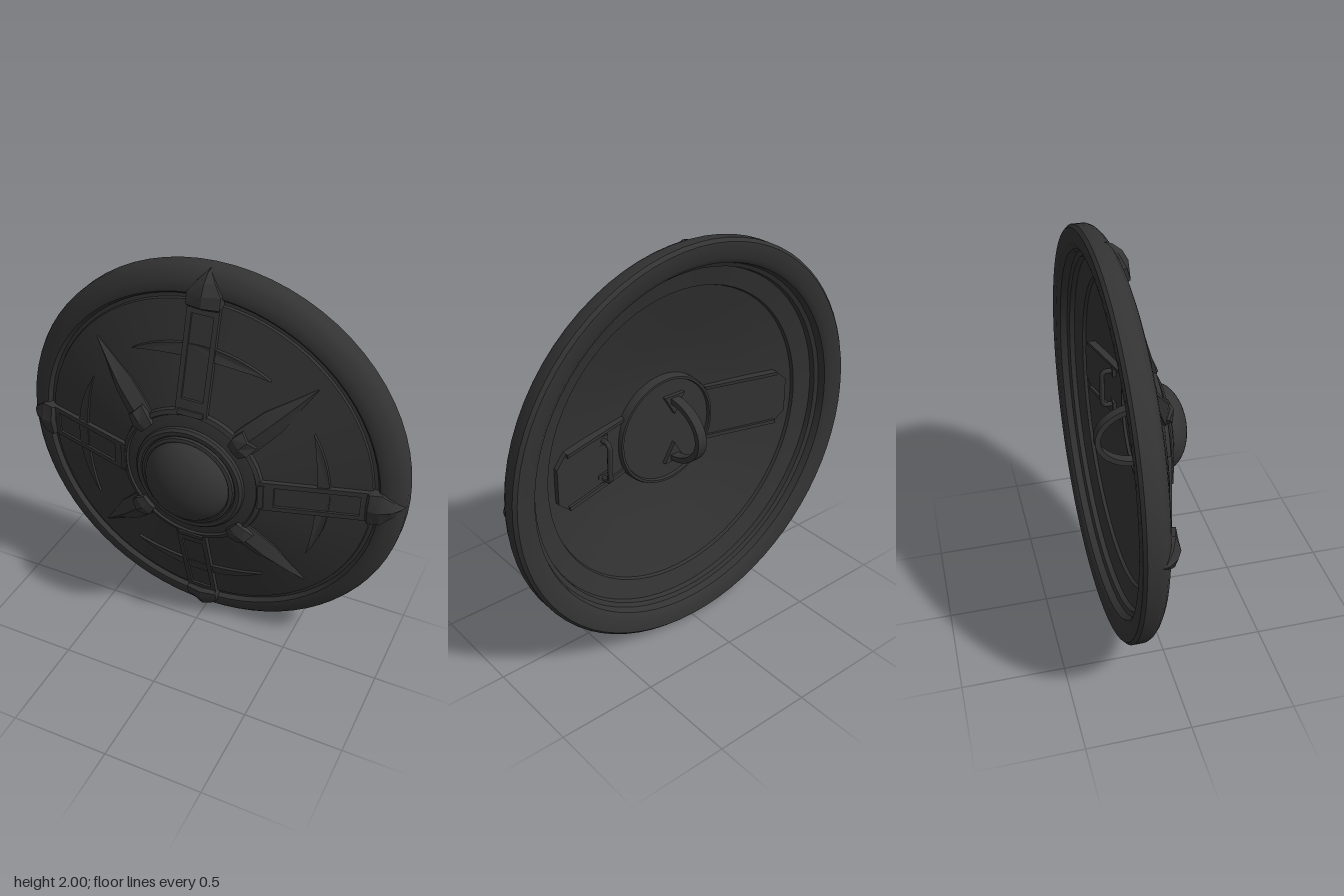
import * as THREE from 'three';
import { toCreasedNormals } from 'three/addons/utils/BufferGeometryUtils.js';

const material = new THREE.MeshStandardMaterial({ color: 0x333333 });

// Height of the conical front face at distance r from the centre
const coneZ = (r) => 0.045 - (r - 0.36) * 0.29;

function addMesh(parent, name, geometry, crease = 0.5) {
  const mesh = new THREE.Mesh(toCreasedNormals(geometry, crease), material);
  mesh.name = name;
  parent.add(mesh);
  return mesh;
}

// Profile of [radius, z] pairs turned about the z axis
function turned(profile, segments = 72) {
  const points = profile.map(([r, z]) => new THREE.Vector2(r, z));
  return new THREE.LatheGeometry(points, segments).rotateX(Math.PI / 2);
}

// Extrude an outline between two heights measured from the cone
function draped(shape, low, high) {
  const g = new THREE.ExtrudeGeometry(shape, { depth: high - low, bevelEnabled: false });
  const p = g.attributes.position;
  for (let i = 0; i < p.count; i++) {
    p.setZ(i, p.getZ(i) + low + coneZ(Math.hypot(p.getX(i), p.getY(i))));
  }
  g.computeVertexNormals();
  return g;
}

const outline = (pts) => new THREE.Shape(pts.map(([x, y]) => new THREE.Vector2(x, y)));
const rect = (w, y0, y1) => outline([[-w, y0], [w, y0], [w, y1], [-w, y1]]);

// Ridged loft along y; each section is [y, halfWidth, edgeZ, ridgeZ, bottomZ]
function ridged(sections) {
  const rings = sections.map(([y, w, edge, ridge, bottom]) => [
    [-w, y, bottom], [-w, y, edge], [0, y, ridge], [w, y, edge], [w, y, bottom],
  ]);
  const n = 5, index = [];
  for (let i = 0; i < rings.length - 1; i++) {
    for (let j = 0; j < n; j++) {
      const a = i * n + j, b = i * n + (j + 1) % n;
      index.push(a, b, b + n, a, b + n, a + n);
    }
  }
  const last = (rings.length - 1) * n;
  for (let k = 1; k < n - 1; k++) {
    index.push(0, k + 1, k, last, last + k, last + k + 1);
  }
  const g = new THREE.BufferGeometry();
  g.setAttribute('position', new THREE.Float32BufferAttribute(rings.flat(2), 3));
  g.setIndex(index);
  g.computeVertexNormals();
  return g;
}

// Moon-shaped outline centred on the +y axis
function crescentShape() {
  const pts = [], n = 16, spread = 0.55;
  const at = (r, a) => [r * Math.sin(a), r * Math.cos(a)];
  for (let i = 0; i <= n; i++) pts.push(at(0.668, spread * (1 - 2 * i / n)));
  for (let i = 1; i < n; i++) {
    const t = 2 * i / n - 1;
    pts.push(at(0.668 - 0.06 * (1 - t * t), spread * t));
  }
  return outline(pts);
}

function createArm() {
  const arm = new THREE.Group();
  // Framed bar with a recessed panel
  const frame = rect(0.08, 0.35, 0.86);
  frame.holes.push(rect(0.055, 0.42, 0.805));
  addMesh(arm, 'barFrame', draped(frame, -0.012, 0.024));
  addMesh(arm, 'barPanel', draped(rect(0.06, 0.41, 0.81), -0.012, 0.012));
  addMesh(arm, 'barFoot', draped(rect(0.065, 0.35, 0.375), 0, 0.032));
  // Pointed cap that hooks over the rim
  addMesh(arm, 'rimCap', ridged([
    [0.83, 0.074, -0.07, -0.06, -0.13],
    [0.845, 0.083, -0.055, -0.04, -0.13],
    [0.9, 0.083, -0.07, -0.045, -0.15],
    [0.95, 0.045, -0.095, -0.072, -0.17],
    [0.985, 0.012, -0.13, -0.115, -0.19],
    [0.996, 0.002, -0.15, -0.14, -0.19],
  ]), 0.3);
  addMesh(arm, 'crescent', draped(crescentShape(), -0.01, 0.016));
  return arm;
}

function createSpike() {
  const spike = new THREE.Group();
  addMesh(spike, 'blade', ridged([
    [0.35, 0.062, 0.055, 0.085, 0.02],
    [0.4, 0.066, 0.042, 0.075, 0.01],
    [0.54, 0.06, 0.0, 0.038, -0.03],
    [0.68, 0.026, -0.045, -0.02, -0.07],
    [0.79, 0.002, -0.076, -0.072, -0.1],
  ]), 0.2);
  addMesh(spike, 'bladeSocket', ridged([
    [0.315, 0.04, 0.085, 0.092, 0.03],
    [0.36, 0.054, 0.085, 0.1, 0.02],
    [0.415, 0.05, 0.06, 0.088, 0.01],
  ]), 0.2);
  return spike;
}

function createGrip() {
  const back = new THREE.Group();
  // Strap plates with raised rails on both sides of the round grip plate
  for (const side of [0, Math.PI]) {
    const half = new THREE.Group();
    half.name = side ? 'rightStrap' : 'leftStrap';
    const plate = outline([[0.2, -0.145], [0.64, -0.145], [0.7, -0.09],
      [0.7, 0.09], [0.64, 0.145], [0.2, 0.145]]);
    addMesh(half, 'strapPlate', draped(plate, -0.055, -0.025));
    for (const s of [-1, 1]) {
      const y = s * 0.137;
      const rail = outline([[0.25, y - 0.009], [0.64, y - 0.009], [0.64, y + 0.009], [0.25, y + 0.009]]);
      addMesh(half, 'strapRail', draped(rail, -0.07, -0.05));
    }
    half.rotation.z = side;
    back.add(half);
  }
  addMesh(back, 'gripPlate', turned([[0, -0.005], [0.262, -0.005], [0.266, -0.02],
    [0.278, -0.02], [0.284, -0.005], [0.284, 0.05]], 48));

  // Curved hand grip: a C-shaped band, drawn in z and y, as wide as a hand strap
  const band = new THREE.Shape();
  band.absellipse(0, 0, 0.225, 0.17, Math.PI / 2, -Math.PI / 2, true);
  band.absellipse(0, 0, 0.198, 0.142, -Math.PI / 2, Math.PI / 2, false);
  const grip = new THREE.ExtrudeGeometry(band, { depth: 0.05, bevelEnabled: false, curveSegments: 20 });
  addMesh(back, 'handGrip', grip.rotateY(Math.PI / 2).translate(-0.065, 0, -0.003));
  for (const s of [-1, 1]) {
    const foot = outline([[-0.1, s * 0.18], [0.02, s * 0.18], [-0.04, s * 0.08]]);
    const g = new THREE.ExtrudeGeometry(foot, { depth: 0.025, bevelEnabled: false });
    addMesh(back, 'gripFoot', g.translate(0, 0, -0.025));
  }

  // Small squared bracket for the forearm
  const path = new THREE.CurvePath();
  const pts = [[-0.1, 0], [-0.1, -0.075], [-0.085, -0.09], [0.085, -0.09], [0.1, -0.075], [0.1, 0]]
    .map(([y, z]) => new THREE.Vector3(0.4, y, z));
  for (let i = 1; i < pts.length; i++) path.add(new THREE.LineCurve3(pts[i - 1], pts[i]));
  addMesh(back, 'armBracket', new THREE.TubeGeometry(path, 48, 0.013, 8), 1);
  for (const y of [-0.1, 0.1]) {
    addMesh(back, 'bracketFoot', new THREE.BoxGeometry(0.06, 0.045, 0.03).translate(0.4, y, -0.025));
  }
  return back;
}

export function createModel() {
  const model = new THREE.Group();
  const shield = new THREE.Group();
  shield.name = 'shield';
  shield.position.y = 1;
  model.add(shield);

  // Dished body with a rounded rim, closed front and back
  addMesh(shield, 'body', turned([
    [0, 0.03], [0.26, 0.03], [0.5, coneZ(0.5) - 0.03], [0.75, coneZ(0.75) - 0.03],
    [0.755, -0.115], [0.85, -0.14], [0.855, -0.165], [0.875, -0.175], [0.885, -0.21],
    [0.91, -0.228], [0.985, -0.23], [1, -0.215], [1, -0.16], [0.99, -0.137], [0.97, -0.118],
    [0.94, -0.1], [0.91, -0.09], [0.89, -0.09], [0.88, -0.1], [0.875, -0.113],
    [0.857, -0.11], [0.853, coneZ(0.853)], [0.37, coneZ(0.37)],
    [0.366, 0.062], [0.345, 0.07], [0.338, 0.06], [0.28, 0.075], [0.1, 0.08], [0, 0.08],
  ]), 0.6);

  // Collar and central dome
  addMesh(shield, 'collar', turned([[0.285, 0.06], [0.28, 0.09], [0.268, 0.102],
    [0.248, 0.102], [0.24, 0.095], [0.238, 0.11], [0.222, 0.115], [0.21, 0.1]]));
  const dome = [];
  for (let i = 0; i <= 12; i++) {
    const a = (i / 12) * Math.PI / 2;
    dome.push([0.218 * Math.cos(a), 0.095 + 0.135 * Math.sin(a)]);
  }
  addMesh(shield, 'dome', turned(dome, 48), 1);

  // Four arms on the axes, four spikes between them
  for (let i = 0; i < 4; i++) {
    const arm = createArm();
    arm.name = 'arm';
    arm.rotation.z = i * Math.PI / 2;
    const spike = createSpike();
    spike.name = 'spike';
    spike.rotation.z = (i + 0.5) * Math.PI / 2;
    shield.add(arm, spike);
  }

  const back = createGrip();
  back.name = 'backStraps';
  shield.add(back);
  return model;
}
